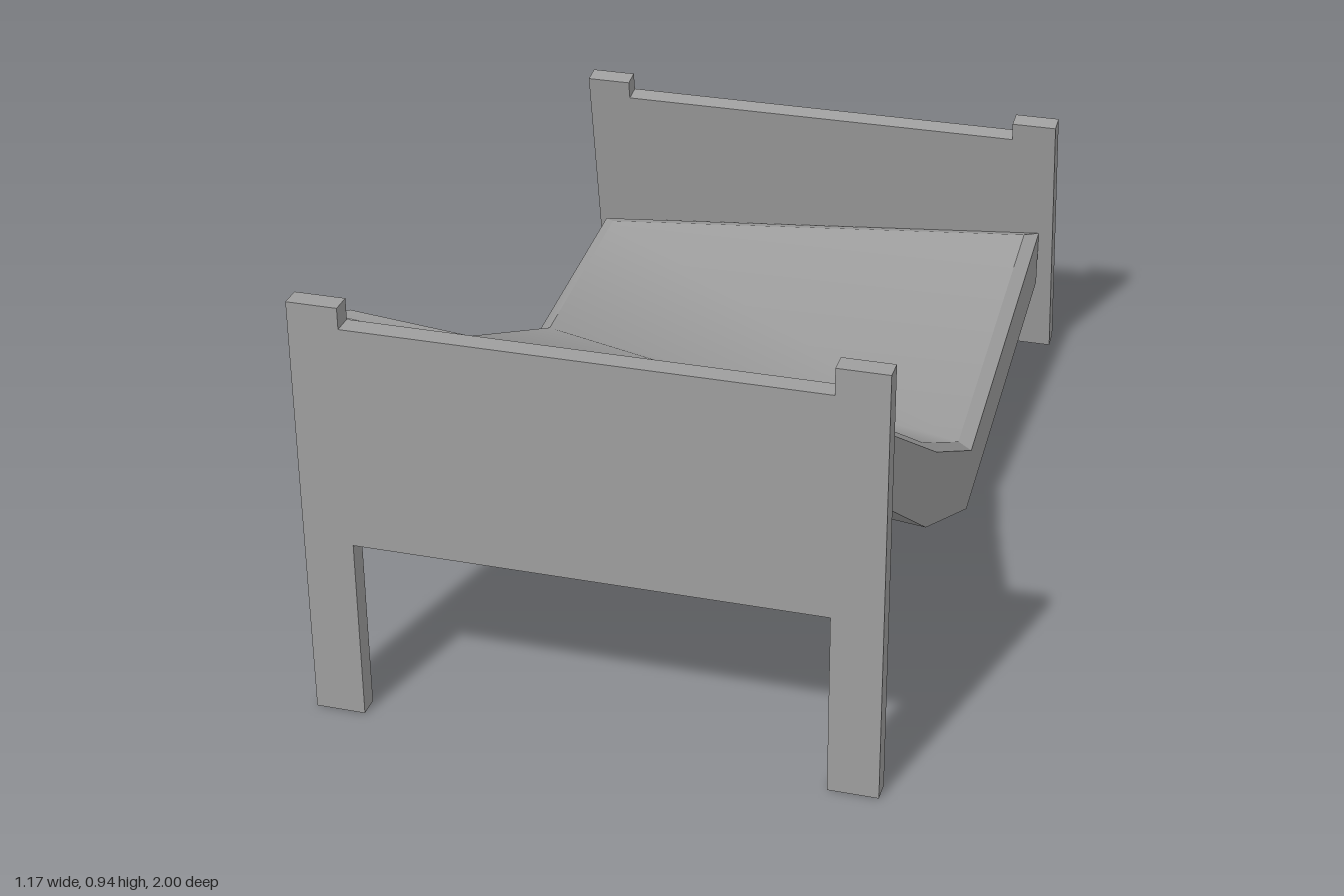
import * as THREE from 'three';
import { mergeGeometries, toCreasedNormals } from 'three/addons/utils/BufferGeometryUtils.js';

const material = new THREE.MeshStandardMaterial({ color: 0x9e9e9e });

function addBox(parent, name, x0, x1, y0, y1, depth) {
  const mesh = new THREE.Mesh(new THREE.BoxGeometry(x1 - x0, y1 - y0, depth), material);
  mesh.name = name;
  mesh.position.set((x0 + x1) / 2, (y0 + y1) / 2, 0);
  parent.add(mesh);
}

// Two posts with a panel between them, standing on the group's origin
function makeBoard(name, leftHeight, rightHeight, panelBottom, panelTop) {
  const board = new THREE.Group();
  board.name = name;
  const depth = 0.044;
  addBox(board, 'leftPost', 0.482, 0.586, 0, leftHeight, depth);
  addBox(board, 'rightPost', -0.588, -0.484, 0, rightHeight, depth);
  addBox(board, 'panel', -0.484, 0.482, panelBottom, panelTop, depth);
  return board;
}

// Sagging, twisted mattress lofted through cross-sections with a bevelled top
function makeMattress() {
  const left = 0.552, right = -0.566, inset = 0.03, rise = 0.018;
  // Front to rear: [bottom z, bottom y, top z, top y] on each side
  const leftSide = [[0.95, 0.635, 0.86, 0.735], [0.44, 0.28, 0.35, 0.41],
    [-0.04, 0.045, -0.07, 0.18], [-0.9, 0.2, -0.9, 0.335]];
  const rightSide = [[0.95, 0.73, 0.86, 0.832], [0.28, 0.31, 0.2, 0.435],
    [-0.31, 0.045, -0.35, 0.18], [-0.9, 0.103, -0.9, 0.235]];
  const last = leftSide.length - 1;
  const positions = [];

  leftSide.forEach((l, s) => {
    const r = rightSide[s];
    // Pull the bevel's inner corners back from both ends along the slope
    const inner = (side) => {
      const [, , z, y] = side[s];
      if (s > 0 && s < last) return [z, y + rise];
      const next = side[s === 0 ? 1 : last - 1];
      const t = 0.04 / Math.abs(next[2] - z);
      return [z + (next[2] - z) * t, y + (next[3] - y) * t + rise];
    };
    const [lz, ly] = inner(leftSide), [rz, ry] = inner(rightSide);
    positions.push(
      right, r[1], r[0], left, l[1], l[0], left, l[3], l[2],
      left - inset, ly, lz, right + inset, ry, rz, right, r[3], r[2]);
  });

  // One face strip, smooth along its length up to the crease angle
  const surfaces = [];
  const addSurface = (index, crease) => {
    const geometry = new THREE.BufferGeometry();
    geometry.setAttribute('position', new THREE.Float32BufferAttribute(positions, 3));
    geometry.setIndex(index);
    surfaces.push(toCreasedNormals(geometry, crease));
  };

  // Bottom, sides, bevels and top
  for (let i = 0; i < 6; i++) {
    const index = [];
    for (let s = 0; s < last; s++) {
      const a = s * 6 + i, b = s * 6 + (i + 1) % 6;
      index.push(a, a + 6, b + 6, a, b + 6, b);
    }
    addSurface(index, i % 3 === 0 ? Math.PI : 0.5);
  }
  // End faces with their bevels
  const e = last * 6;
  for (const [a, b, c, d] of [[0, 1, 2, 5], [5, 2, 3, 4]]) {
    addSurface([a, b, c, a, c, d], 0.5);
    addSurface([e + a, e + c, e + b, e + a, e + d, e + c], 0.5);
  }
  const mesh = new THREE.Mesh(mergeGeometries(surfaces), material);
  mesh.name = 'mattress';
  return mesh;
}

export function createModel() {
  const bed = new THREE.Group();
  bed.name = 'brokenBed';

  // Tall upright board at the front
  const headboard = makeBoard('headboard', 0.936, 0.925, 0.4, 0.88);
  headboard.position.z = 0.978;

  // Low board at the rear, leaning inward
  const footboard = makeBoard('footboard', 0.649, 0.649, 0.18, 0.605);
  footboard.position.set(0, 0.004, -0.977);
  footboard.rotation.x = 0.165;

  bed.add(headboard, footboard, makeMattress());
  return bed;
}
